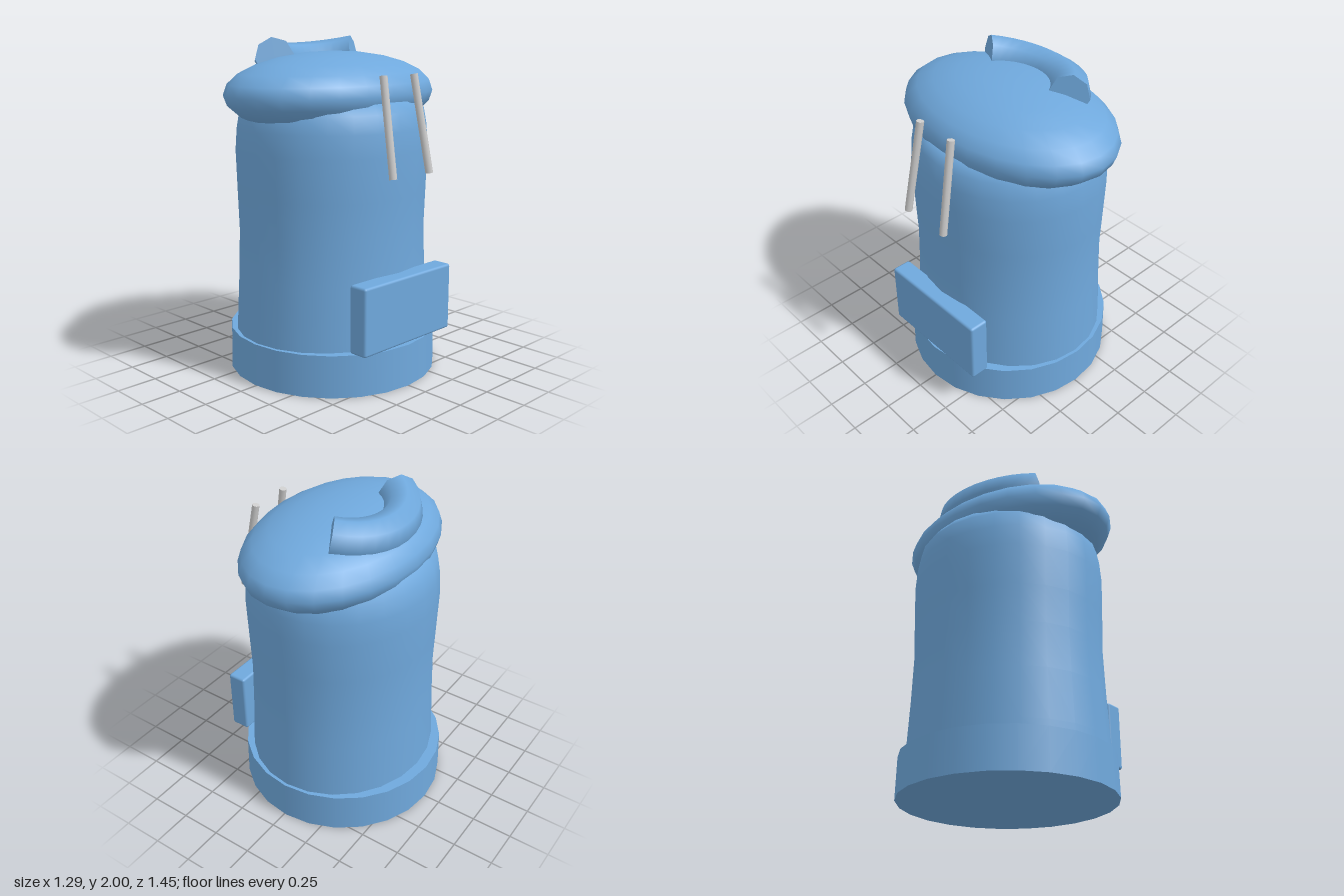
import * as THREE from 'three';
import { mergeGeometries } from 'three/addons/utils/BufferGeometryUtils.js';
import { RoundedBoxGeometry } from 'three/addons/geometries/RoundedBoxGeometry.js';

const AXIS = -0.012; // x of the body's centre line

export function createModel() {
  const group = new THREE.Group();
  const blue = new THREE.MeshStandardMaterial({ color: 0x6fa8dc });
  blue.name = 'blue';
  const grey = new THREE.MeshStandardMaterial({ color: 0xcccccc });
  grey.name = 'light grey';

  const add = (name, geometry, material, x, y, z) => {
    const mesh = new THREE.Mesh(geometry, material);
    mesh.name = name;
    mesh.position.set(x, y, z);
    group.add(mesh);
    return mesh;
  };

  // Round foot
  add('base', new THREE.CylinderGeometry(0.63, 0.635, 0.25, 24), blue, AXIS, 0.125, 0);

  // Slightly waisted body, a little deeper than wide
  const profile = [
    [0.566, 0.2], [0.562, 0.3], [0.548, 0.6], [0.54, 0.87], [0.547, 1.1],
    [0.554, 1.35], [0.545, 1.48], [0.528, 1.58], [0.48, 1.645], [0.3, 1.68],
  ].map(([r, y]) => new THREE.Vector2(r, y));
  const body = add('body', new THREE.LatheGeometry(profile, 24), blue, AXIS, 0, 0);
  body.scale.z = 1.085;

  // Oval lid
  const lid = add('lid', new THREE.SphereGeometry(1, 24, 12), blue, AXIS, 1.675, 0);
  lid.scale.set(0.492, 0.24, 0.725);

  // Curved handle lying tilted on the lid, with closed ends
  const R = 0.388, r = 0.115, arc = 2.0;
  const startCap = new THREE.CircleGeometry(r, 8).rotateX(Math.PI / 2).translate(R, 0, 0);
  const endCap = new THREE.CircleGeometry(r, 8).rotateX(-Math.PI / 2).translate(R, 0, 0).rotateZ(arc);
  const handleGeometry = mergeGeometries([new THREE.TorusGeometry(R, r, 8, 12, arc), startCap, endCap])
    .rotateZ(Math.PI - arc / 2)
    .rotateX(Math.PI / 2);
  const handle = add('handle', handleGeometry, blue, 0.05, 1.932, 0);
  handle.rotation.z = 0.23;

  // Box on the side
  add('sideBox', new RoundedBoxGeometry(0.12, 0.4, 0.74, 2, 0.015), blue, 0.56, 0.465, 0);

  // Pair of splayed rods
  for (const side of [1, -1]) {
    const top = new THREE.Vector3(0.513, 1.796, 0.127 * side);
    const bottom = new THREE.Vector3(0.618, 1.24, 0.154 * side);
    const direction = top.clone().sub(bottom);
    const rod = add(side > 0 ? 'frontRod' : 'backRod',
      new THREE.CylinderGeometry(0.022, 0.022, direction.length(), 8), grey,
      ...top.clone().add(bottom).multiplyScalar(0.5).toArray());
    rod.quaternion.setFromUnitVectors(new THREE.Vector3(0, 1, 0), direction.normalize());
  }
  return group;
}
